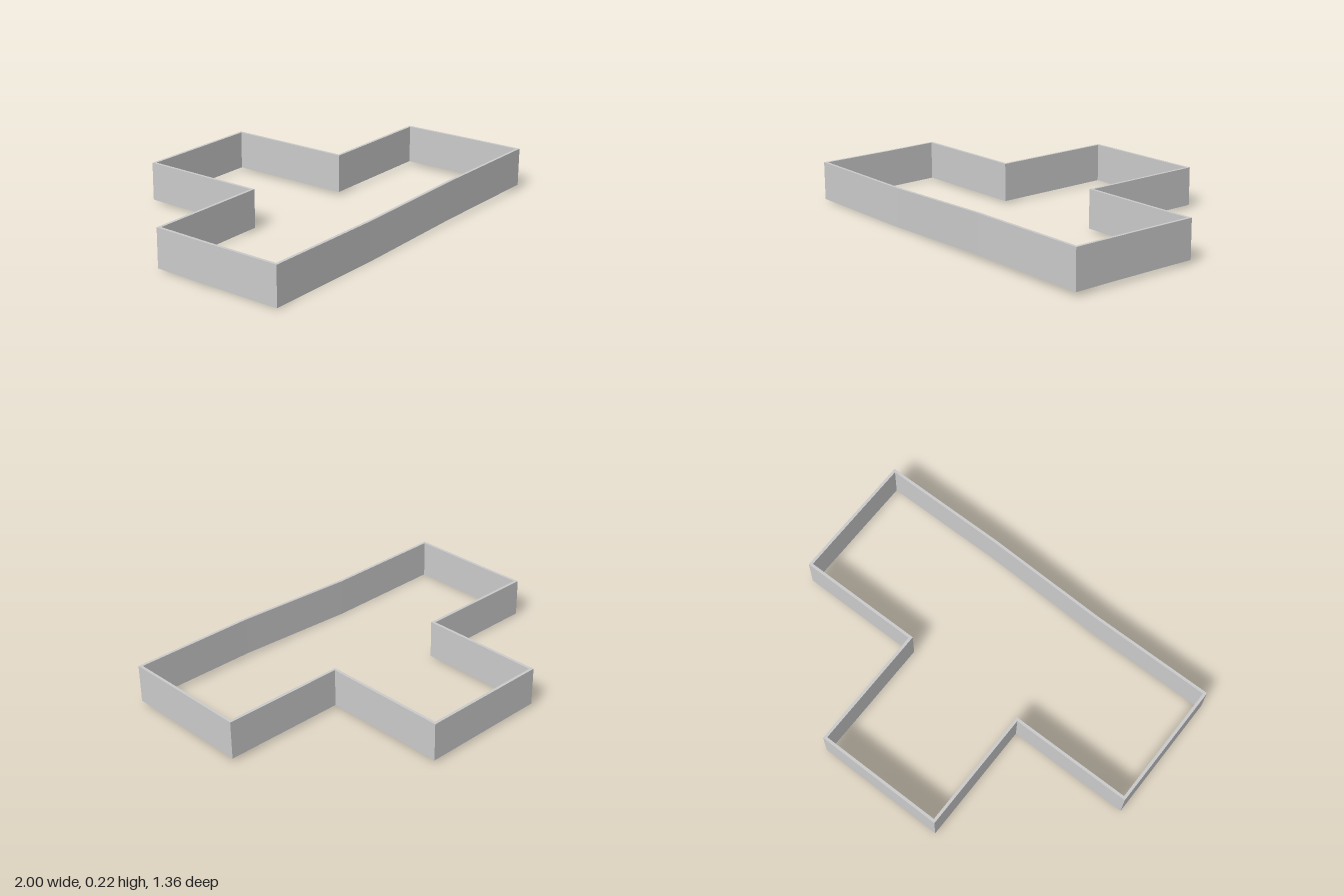
import * as THREE from 'three';

const HEIGHT = 0.2;
const THICKNESS = 0.015;

// Wall centreline of the T-shaped plan: x, z, base height and the name of the wall that starts there
const PATH = [
  [-0.9925, 0.659, 0.004, 'frontWallRight'],
  [-0.33, 0.659, 0, 'frontWallMiddle'],
  [0.33, 0.671, 0.02, 'frontWallLeft'],
  [0.9925, 0.671, 0.02, 'leftSideWallFront'],
  [0.9925, 0.4, 0.0195, 'leftSideWallBack'],
  [0.9925, -0.01, 0.0165, 'leftShoulderWall'],
  [0.338, -0.01, 0.015, 'leftStemWall'],
  [0.338, -0.677, 0.0135, 'backWall'],
  [-0.342, -0.677, 0.012, 'rightStemWall'],
  [-0.342, -0.023, 0.0105, 'rightShoulderWall'],
  [-0.9925, -0.023, 0.008, 'rightSideWallBack'],
  [-0.9925, 0.26, 0.005, 'rightSideWallFront'],
];

// Outward normal of the wall between two path points
function outward(a, b) {
  return new THREE.Vector2(a[1] - b[1], b[0] - a[0]).normalize();
}

// Mitred rectangular cross-section at path point i
function crossSection(i) {
  const n = PATH.length;
  const p = PATH[i];
  const n1 = outward(PATH[(i + n - 1) % n], p);
  const n2 = outward(p, PATH[(i + 1) % n]);
  const m = n1.clone().add(n2).multiplyScalar(THICKNESS / 2 / (1 + n1.dot(n2)));
  const corner = (side, y) => [p[0] + side * m.x, p[2] + y, p[1] + side * m.y];
  return [corner(1, 0), corner(-1, 0), corner(-1, HEIGHT), corner(1, HEIGHT)];
}

// Outer, bottom, inner and top faces between two cross-sections
function wallGeometry(a, b) {
  const positions = [];
  for (let k = 0; k < 4; k++) {
    const j = (k + 3) % 4;
    for (const v of [a[k], b[k], b[j], a[k], b[j], a[j]]) positions.push(...v);
  }
  const geometry = new THREE.BufferGeometry();
  geometry.setAttribute('position', new THREE.Float32BufferAttribute(positions, 3));
  geometry.computeVertexNormals();
  return geometry;
}

export function createModel() {
  const group = new THREE.Group();
  group.name = 'wallOutline';
  const material = new THREE.MeshStandardMaterial({ color: 0xcccccc, flatShading: true });
  const sections = PATH.map((_, i) => crossSection(i));

  PATH.forEach((point, i) => {
    const wall = new THREE.Mesh(wallGeometry(sections[i], sections[(i + 1) % sections.length]), material);
    wall.name = point[3];
    group.add(wall);
  });
  return group;
}
